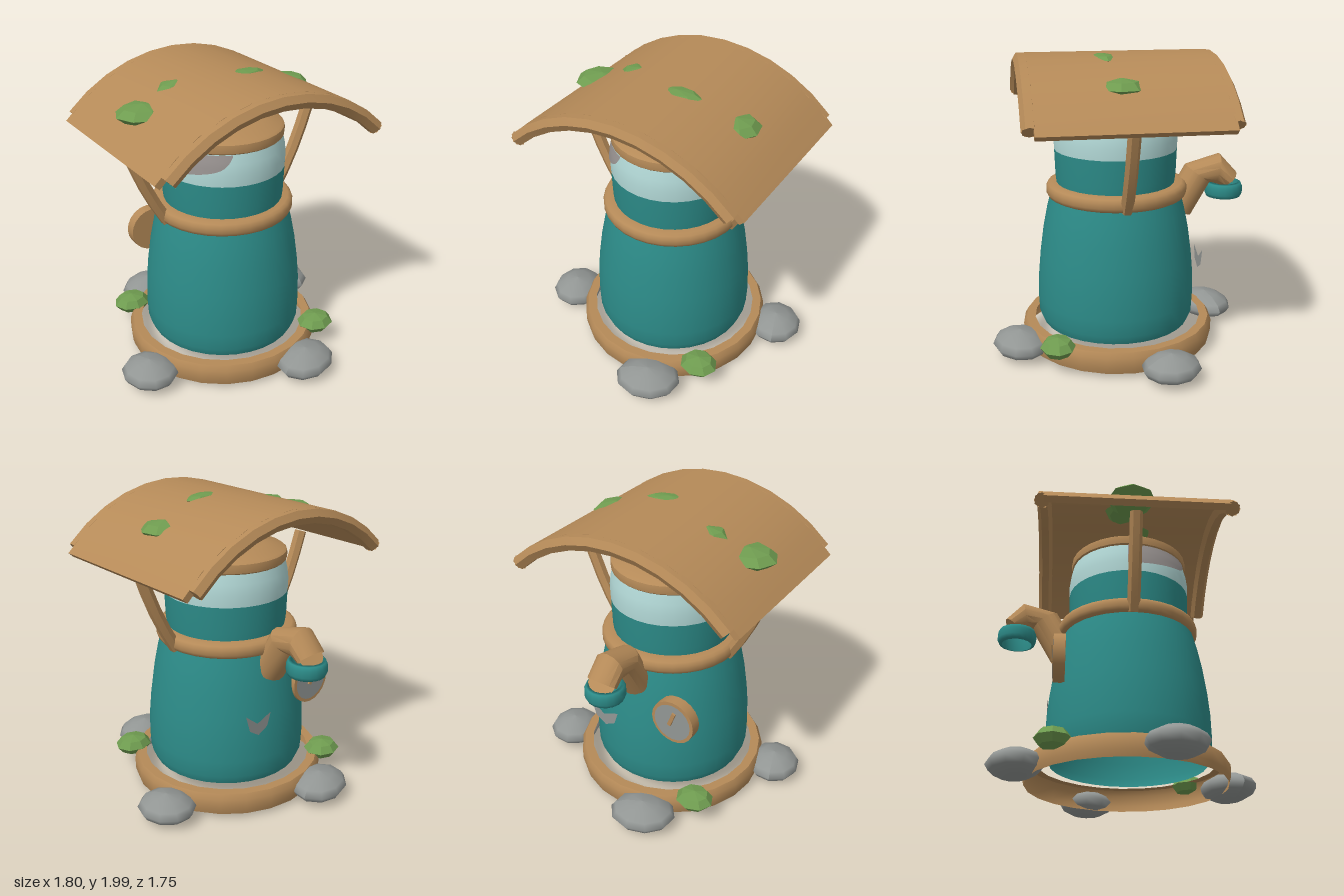
import * as THREE from 'three';
import { toCreasedNormals } from 'three/addons/utils/BufferGeometryUtils.js';

const mat = (name, color, side = THREE.FrontSide) => {
  const m = new THREE.MeshStandardMaterial({ color, side });
  m.name = name;
  return m;
};

export function createModel() {
  const group = new THREE.Group();
  const wood = mat('wood brown', 0xb58a58, THREE.DoubleSide);
  const teal = mat('teal', 0x2c8b88, THREE.DoubleSide);
  const glass = mat('pale glass', 0xb2d8d6);
  const stone = mat('stone grey', 0x929694, THREE.DoubleSide);
  const worn = mat('worn grey', 0x989290);
  const leaf = mat('leaf green', 0x6f9c50);

  const add = (name, geo, material, x = 0, y = 0, z = 0) => {
    const mesh = new THREE.Mesh(geo, material);
    mesh.name = name;
    mesh.position.set(x, y, z);
    group.add(mesh);
    return mesh;
  };
  const lathe = (pts, segs = 32, start = 0, length = Math.PI * 2) =>
    new THREE.LatheGeometry(pts.map(([r, y]) => new THREE.Vector2(r, y)), segs, start, length);
  const creased = (geo, angle = 0.6) => toCreasedNormals(geo, angle);
  const TANK_Z = 0.012;

  // Tank: bellied lower body, neck and pale window band
  add('tankBody', lathe([[0.505, 0.18], [0.53, 0.24], [0.535, 0.35], [0.531, 0.5], [0.518, 0.64],
    [0.493, 0.82], [0.463, 0.97], [0.433, 1.08]]), teal, 0, 0, TANK_Z);
  add('tankNeck', lathe([[0.39, 1.1], [0.402, 1.2], [0.408, 1.375]]), teal, 0, 0, TANK_Z);
  const bandProfile = [[0.408, 1.375], [0.411, 1.45], [0.402, 1.52], [0.385, 1.59]];
  add('windowBand', lathe(bandProfile), glass, 0, 0, TANK_Z);

  // Worn patch following the window band
  const bandRadius = (y) => {
    const i = y < 1.45 ? 0 : y < 1.52 ? 1 : 2;
    const [[r0, y0], [r1, y1]] = [bandProfile[i], bandProfile[i + 1]];
    return r0 + (r1 - r0) * (y - y0) / (y1 - y0) + 0.005;
  };
  const patch = new THREE.PlaneGeometry(1, 1, 20, 6);
  const pp = patch.attributes.position;
  for (let i = 0; i < pp.count; i++) {
    const u = pp.getX(i) + 0.5, v = pp.getY(i) + 0.5;
    const low = 1.43 + 0.07 * u * u + 0.07 * Math.pow(u, 14);
    const y = low + (1.58 - low) * v;
    const a = -1.65 + 1.23 * u, r = bandRadius(y);
    pp.setXYZ(i, r * Math.sin(a), y, r * Math.cos(a));
  }
  patch.computeVertexNormals();
  add('wornPatch', patch, worn, 0, 0, TANK_Z);

  // Hoop, open-bottomed base ring and lid
  add('middleHoop', creased(lathe([[0.38, 1.05], [0.44, 1.05], [0.46, 1.06], [0.471, 1.083], [0.471, 1.117],
    [0.46, 1.14], [0.44, 1.15], [0.38, 1.15]]), 0.9), wood, 0, 0, 0.006);
  add('baseRing', creased(lathe([[0.645, 0.04], [0.656, 0.08], [0.656, 0.15],
    [0.635, 0.185], [0.575, 0.185]], 24)), wood);
  add('lid', creased(lathe([[0, 1.575], [0.38, 1.575], [0.396, 1.59], [0.4, 1.62], [0.396, 1.645],
    [0.38, 1.657], [0.25, 1.685], [0.1, 1.703], [0, 1.705]])), wood, 0, 0, TANK_Z);

  // Arched roof sheet
  const ARC_Y = 0.886, HALF = 0.83;
  const sheet = new THREE.Shape();
  sheet.absarc(0, 0, 1.114, Math.PI / 2 - HALF, Math.PI / 2 + HALF, false);
  sheet.absarc(0, 0, 1.07, Math.PI / 2 + HALF, Math.PI / 2 - HALF, true);
  sheet.closePath();
  add('roofSheet', creased(new THREE.ExtrudeGeometry(sheet,
    { depth: 1.17, curveSegments: 5, bevelEnabled: false }), 0.4), wood, 0, ARC_Y, -0.575);

  // Six-sided rails bent along both ends of the roof
  const RAIL_R = 1.07, RAIL_HALF = 0.775;
  const hex = [...Array(7).keys()].map((i) => {
    const a = Math.PI / 6 + i * Math.PI / 3;
    return [RAIL_R + 0.05 * Math.cos(a), 0.05 * Math.sin(a)];
  });
  const railGeo = creased(lathe(hex, 10, -RAIL_HALF, RAIL_HALF * 2).rotateX(-Math.PI / 2), 0.4);
  for (const [name, z] of [['frontRoofRail', 0.617], ['backRoofRail', -0.587]]) {
    add(name, railGeo, wood, 0, ARC_Y, z);
    for (const side of [1, -1]) {
      const end = add(name + 'End', new THREE.CircleGeometry(0.05, 6, Math.PI / 6), wood,
        side * RAIL_R * Math.sin(RAIL_HALF), ARC_Y + RAIL_R * Math.cos(RAIL_HALF), z);
      end.rotation.set(Math.PI / 2, side * (Math.PI / 2 - RAIL_HALF), 0, 'ZYX');
      end.lookAt(end.position.x + side * Math.cos(RAIL_HALF), end.position.y - Math.sin(RAIL_HALF), z);
    }
  }

  // Bent six-sided struts carrying the roof
  for (const side of [1, -1]) {
    const path = new THREE.CatmullRomCurve3([[0.43, 1.06], [0.51, 1.195], [0.58, 1.335], [0.64, 1.48], [0.695, 1.635]]
      .map(([x, y]) => new THREE.Vector3(x * side, y, 0.01)));
    add(side > 0 ? 'leftStrut' : 'rightStrut',
      creased(new THREE.TubeGeometry(path, 4, 0.042, 6), 0.4), wood);
  }

  // Bent spout: mitred circular cross-sections, [z, y, tilt]
  const sections = [[-0.415, 0.93, 1.08], [-0.553, 1.17, 0.93],
    [-0.685, 1.198, -0.2], [-0.77, 1.125, -0.85]];
  const N = 14, last = sections.length - 1;
  const spout = new THREE.CylinderGeometry(1, 1, 1, N, last, true);
  const sp = spout.attributes.position;
  for (let i = 0; i < sp.count; i++) {
    const k = last - Math.floor(i / (N + 1));
    const [z, y, t] = sections[k];
    const a = (i % (N + 1)) / N * Math.PI * 2;
    const r = 0.104, h = r * Math.cos(a) * (k === last ? 0.68 : 1);
    sp.setXYZ(i, r * Math.sin(a), y + h * Math.cos(t), z + h * Math.sin(t));
  }
  add('spout', creased(spout, 0.5), wood);
  const endCap = add('spoutEnd', new THREE.CircleGeometry(0.1, N), wood, 0, 1.125, -0.77);
  endCap.scale.y = 0.68;
  endCap.rotation.x = 0.85 + Math.PI;
  add('spoutRing', lathe([[0.1, 1.0], [0.118, 1.005], [0.129, 1.03], [0.129, 1.075], [0.118, 1.1],
    [0.1, 1.105], [0.1, 1.0]], 18), teal, 0, 0, -0.74);

  // Pressure dial on the back
  const dial = new THREE.Group();
  dial.name = 'dial';
  dial.position.set(-0.32, 0.77, -0.447);
  dial.rotation.y = Math.PI;
  const rim = new THREE.Mesh(new THREE.CylinderGeometry(0.155, 0.155, 0.075, 20), wood);
  rim.name = 'dialRim';
  rim.rotation.x = Math.PI / 2;
  const face = new THREE.Mesh(new THREE.CircleGeometry(0.133, 20), stone);
  face.name = 'dialFace';
  face.position.z = 0.04;
  const hand = new THREE.Mesh(new THREE.BoxGeometry(0.025, 0.105, 0.014), wood);
  hand.name = 'dialHand';
  hand.position.set(0, 0.03, 0.046);
  hand.rotation.z = -0.35;
  dial.add(rim, face, hand);
  group.add(dial);

  // Torn metal scrap
  const scrap = [[0.3, 0.72], [0.2, 0.64], [0.085, 0.688], [0.115, 0.595], [0.19, 0.555], [0.265, 0.605]];
  add('metalScrap', new THREE.ShapeGeometry(new THREE.Shape(scrap.map(([x, y]) => new THREE.Vector2(x, y)))),
    stone, 0, 0, -0.522);

  // Four lens-shaped stones spaced evenly around the base
  const stoneGeo = new THREE.SphereGeometry(1, 10, 6);
  const st = stoneGeo.attributes.position;
  for (let i = 0; i < st.count; i++) {
    st.setY(i, st.getY(i) * (1 - 0.2 * Math.hypot(st.getX(i), st.getZ(i)) ** 2));
  }
  stoneGeo.computeVertexNormals();
  for (let i = 0; i < 4; i++) {
    const a = 0.31 + i * Math.PI / 2, onSide = i % 2 === 1, d = onSide ? 0.755 : 0.725;
    const s = add('stone' + (i + 1), stoneGeo, stone, d * Math.sin(a), 0.107, d * Math.cos(a));
    s.scale.set(onSide ? 0.195 : 0.22, 0.095, 0.18);
    s.rotation.y = a;
  }

  // Leaf clumps: two at the base, four poking through the roof
  const clumps = [
    [0.485, 0.187, 0.465, 0.13, 0.065, 0.115, 0], [-0.485, 0.187, -0.465, 0.13, 0.065, 0.115, 0],
    [-0.555, 1.815, -0.01, 0.18, 0.06, 0.16, 0], [-0.295, 1.905, -0.06, 0.14, 0.055, 0.11, 0],
    [0.09, 1.972, 0.11, 0.16, 0.03, 0.08, 0.1], [0.465, 1.84, 0.05, 0.15, 0.06, 0.15, 0.6],
  ];
  const clumpGeo = new THREE.SphereGeometry(1, 8, 4).toNonIndexed();
  clumpGeo.computeVertexNormals();
  clumps.forEach(([x, y, z, sx, sy, sz, turn], i) => {
    const m = add((i < 2 ? 'baseLeaves' : 'roofLeaves') + (i + 1), clumpGeo, leaf, x, y, z);
    m.scale.set(sx, sy, sz);
    m.rotation.y = turn;
  });

  return group;
}
